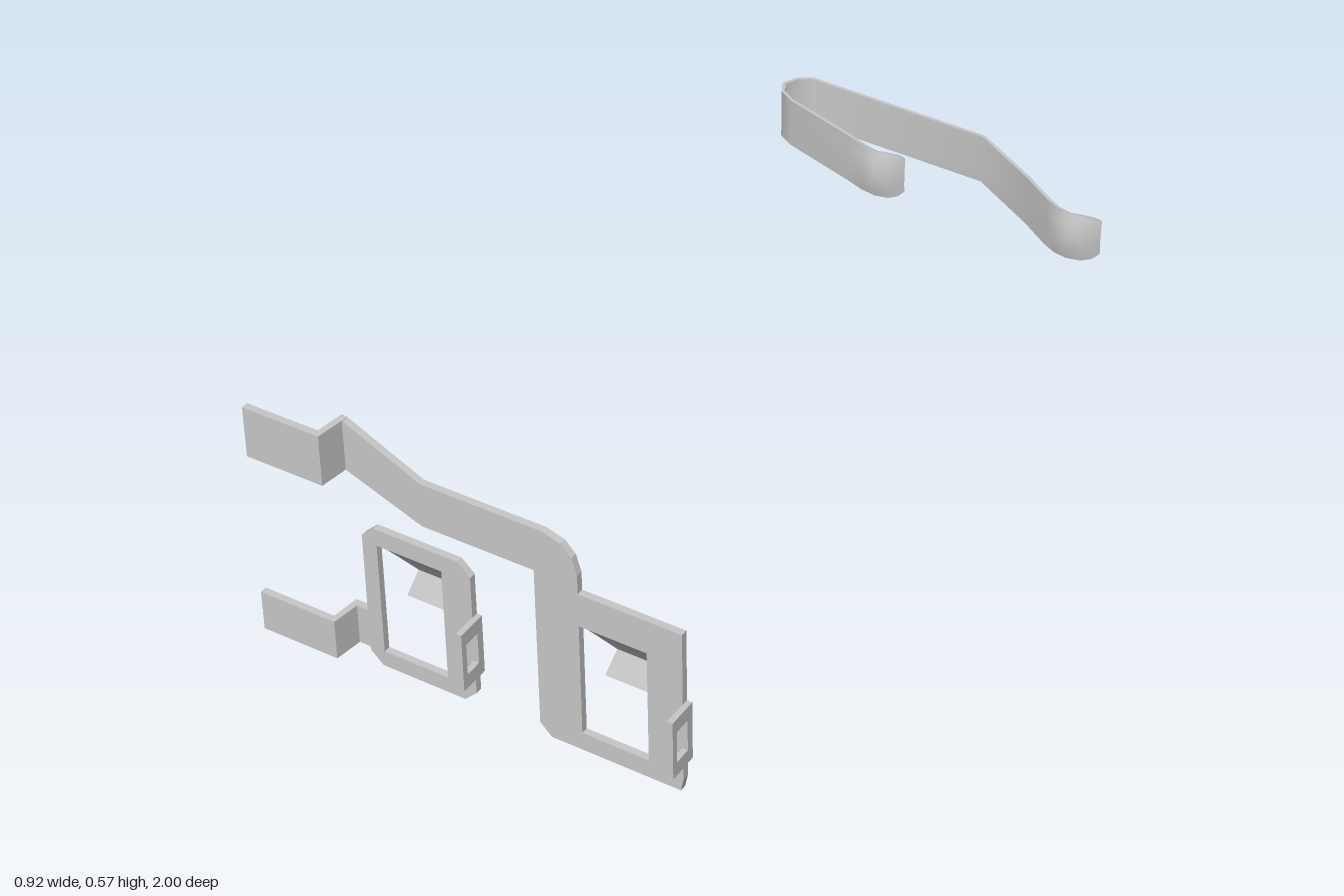
import * as THREE from 'three';
import { toCreasedNormals } from 'three/addons/utils/BufferGeometryUtils.js';

const steel = new THREE.MeshStandardMaterial({ color: 0xc8c8c8 });
steel.name = 'steel grey';

const BACK = 0.924, SHEET = 0.015; // sheet metal plane and thickness
const vec = (p) => new THREE.Vector2(p[0], p[1]);

function add(parent, name, geometry) {
  const mesh = new THREE.Mesh(geometry, steel);
  mesh.name = name;
  parent.add(mesh);
  return mesh;
}

function extrude(points, hole, depth) {
  const shape = new THREE.Shape(points.map(vec));
  if (hole) shape.holes.push(new THREE.Path(hole.map(vec)));
  return new THREE.ExtrudeGeometry(shape, { depth, bevelEnabled: false });
}

const rect = (x0, y0, x1, y1) => [[x0, y0], [x1, y0], [x1, y1], [x0, y1]];

// Solid strip from rows of points: each row is one line across the strip
function strip(rows, thickness, crease) {
  const m = rows[0].length - 1, n = rows.length, ring = 2 * m + 2;
  const pos = [], index = [];
  const last = n - 1;
  rows.forEach((row, i) => {
    const top = [], bottom = [];
    row.forEach((p, j) => {
      const du = rows[Math.min(i + 1, last)][j].clone().sub(rows[Math.max(i - 1, 0)][j]);
      const dv = row[Math.min(j + 1, m)].clone().sub(row[Math.max(j - 1, 0)]);
      const normal = du.cross(dv).normalize().multiplyScalar(thickness / 2);
      top.push(p.clone().add(normal));
      bottom.unshift(p.clone().sub(normal));
    });
    [...top, ...bottom].forEach((p) => pos.push(p.x, p.y, p.z));
  });
  const quad = (a, b, c, d) => index.push(a, b, c, a, c, d);
  for (let i = 0; i < last; i++) {
    for (let k = 0; k < ring; k++) {
      const a = i * ring, b = a + ring, k1 = (k + 1) % ring;
      quad(a + k, b + k, b + k1, a + k1);
    }
  }
  const e = last * ring;
  for (let k = 0; k < m; k++) {
    const o = ring - 1 - k;
    quad(k, k + 1, o - 1, o);
    quad(e + o, e + o - 1, e + k + 1, e + k);
  }
  const g = new THREE.BufferGeometry();
  g.setAttribute('position', new THREE.Float32BufferAttribute(pos, 3));
  g.setIndex(index);
  return toCreasedNormals(g, crease);
}

// Flat plate in the sheet plane
function plate(parent, name, points, hole) {
  const mesh = add(parent, name, extrude(points, hole, SHEET));
  mesh.position.z = BACK;
}

// Tab stepped forward out of the sheet at the left end
function steppedTab(parent, name, y0, y1, xEnd) {
  const f = BACK + SHEET;
  const profile = [[xEnd, BACK], [xEnd, f], [-0.279, f], [-0.288, 1], [-0.46, 1],
    [-0.46, 0.985], [-0.299, 0.985], [-0.291, BACK]];
  const g = extrude(profile.map(([x, z]) => [x, -z]), null, y1 - y0);
  g.rotateX(-Math.PI / 2);
  add(parent, name, g).position.y = y0;
}

// Small slotted ear bent forward at the right edge
function ear(parent, x, y0, y1) {
  const mid = (y0 + y1) / 2;
  const g = extrude(rect(-0.992, y0, -BACK, y1), rect(-0.978, mid - 0.036, -0.941, mid + 0.036), 0.012);
  g.rotateY(Math.PI / 2);
  add(parent, 'slottedEar', g).position.x = x;
}

// Contact spring bent back out of the window
function tongue(parent, x) {
  const rows = [[0.304, 0.93, 0.073], [0.24, 0.877, 0.073], [0.178, 0.831, 0.058], [0.121, 0.853, 0.072]]
    .map(([y, z, w]) => [-w, w].map((dx) => new THREE.Vector3(x + dx, y, z)));
  add(parent, 'springTongue', strip(rows, 0.01, 0.3));
}

export function createModel() {
  const model = new THREE.Group();
  model.name = 'batteryContacts';

  // Large terminal with its raised arm
  const large = new THREE.Group();
  large.name = 'largeTerminal';
  model.add(large);
  plate(large, 'largeFrame', [
    [0.158, 0], [0.441, 0], [0.447, 0.03], [0.447, 0.378], [0.227, 0.378], [0.227, 0.42],
    [0.216, 0.457], [0.193, 0.481], [0.155, 0.493], [-0.112, 0.493], [-0.279, 0.573],
    [-0.279, 0.459], [-0.112, 0.394], [0.133, 0.394], [0.133, 0.026],
  ], rect(0.227, 0.042, 0.372, 0.302));
  steppedTab(large, 'upperTab', 0.459, 0.573, -0.277);
  tongue(large, 0.2995);
  ear(large, 0.446, 0.078, 0.213);

  // Small terminal
  const small = new THREE.Group();
  small.name = 'smallTerminal';
  model.add(small);
  plate(small, 'smallFrame', [
    [-0.226, 0.005], [-0.037, 0.005], [-0.01, 0.032], [-0.01, 0.314], [-0.037, 0.341],
    [-0.226, 0.341], [-0.254, 0.314], [-0.254, 0.032],
  ], rect(-0.221, 0.042, -0.075, 0.302));
  steppedTab(small, 'lowerTab', 0.04, 0.131, -0.253);
  tongue(small, -0.148);
  ear(small, -0.011, 0.082, 0.218);

  // Rear bent clip: x, z, half height, dome depth
  const path = [
    [-0.062, -0.832, 0.042, 0.003], [-0.072, -0.823, 0.052, 0.006], [-0.09, -0.813, 0.057, 0.009],
    [-0.12, -0.807, 0.057, 0.011], [-0.155, -0.814, 0.058, 0.007], [-0.2, -0.831, 0.059, 0],
    [-0.385, -0.892, 0.059, 0], [-0.42, -0.914, 0.059, 0], [-0.436, -0.945, 0.059, 0],
    [-0.42, -0.977, 0.059, 0], [-0.389, -0.996, 0.059, 0], [0.057, -0.979, 0.059, 0],
    [0.216, -0.883, 0.059, 0], [0.295, -0.828, 0.059, 0], [0.325, -0.812, 0.058, 0.007],
    [0.355, -0.806, 0.057, 0.011], [0.385, -0.812, 0.057, 0.009],
    [0.405, -0.822, 0.052, 0.006], [0.418, -0.834, 0.042, 0.003],
  ];
  const across = [-1, -0.6, -0.2, 0.2, 0.6, 1];
  const rows = path.map(([x, z, h, d]) =>
    across.map((t) => new THREE.Vector3(x, 0.179 + h * t, z + d * (1 - t * t))));
  add(model, 'rearClip', strip(rows, 0.008, 0.7));

  return model;
}
